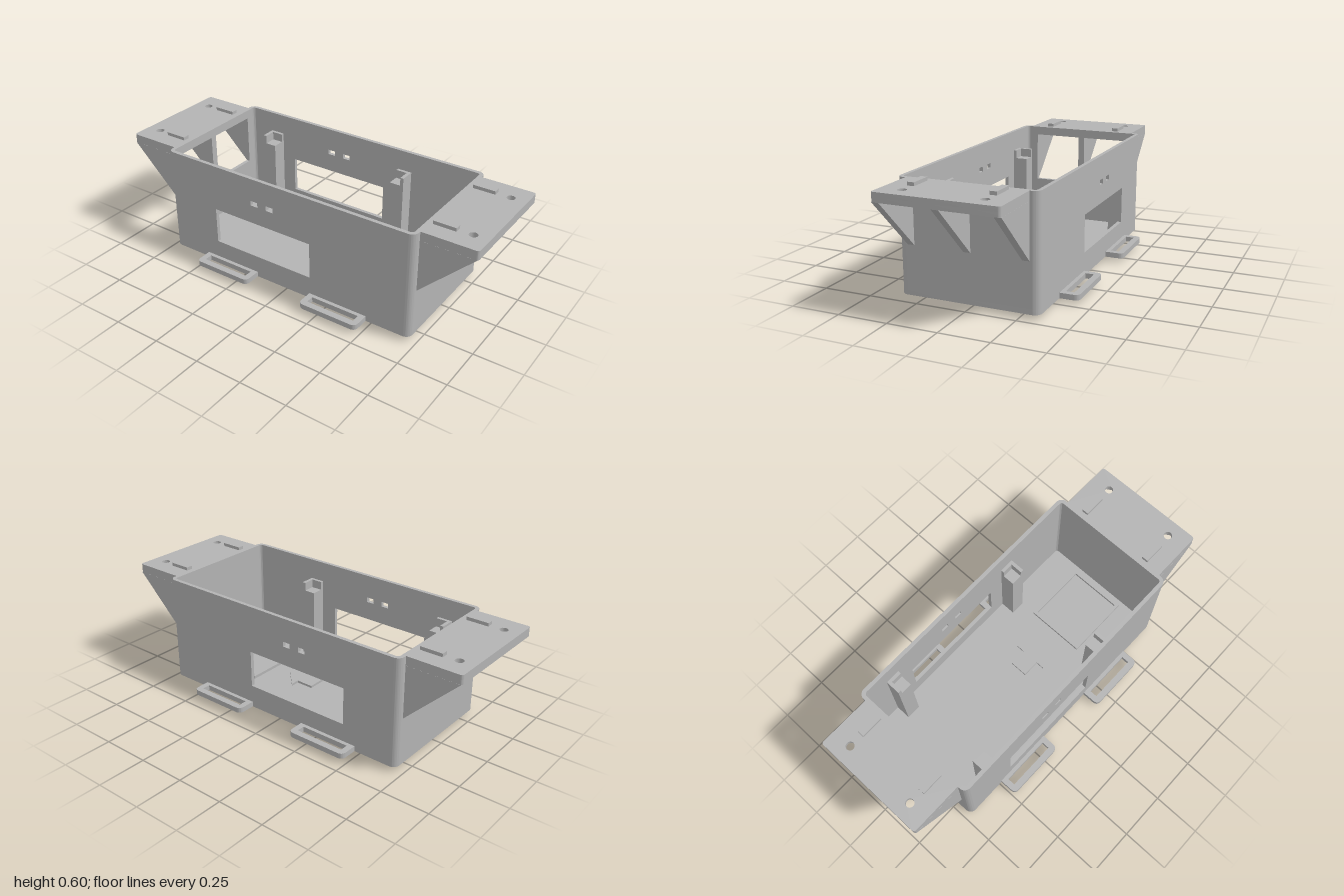
import * as THREE from 'three';
import { toCreasedNormals } from 'three/addons/utils/BufferGeometryUtils.js';

const TOP = 0.583, BASE = 0.025, FLOOR = 0.05; // wall top, underside, floor surface
const HX = 0.72, HZ = 0.348, WALL = 0.02, R = 0.035; // outer half sizes, wall, corner radius
const FLANGE = 0.537; // underside of the flanges

export function createModel() {
  const model = new THREE.Group();
  model.name = 'mountingBox';
  const grey = new THREE.MeshStandardMaterial({ color: 0xb3b3b3 });
  grey.name = 'plain grey';

  const add = (name, geometry, parent = model) => {
    const mesh = new THREE.Mesh(geometry, grey);
    mesh.name = name;
    parent.add(mesh);
    return mesh;
  };
  const box = (name, x0, x1, y0, y1, z0, z1) => {
    const g = new THREE.BoxGeometry(Math.abs(x1 - x0), y1 - y0, Math.abs(z1 - z0));
    return add(name, g.translate((x0 + x1) / 2, (y0 + y1) / 2, (z0 + z1) / 2));
  };
  const extrude = (shape, depth) => toCreasedNormals(
    new THREE.ExtrudeGeometry(shape, { depth, bevelEnabled: false, curveSegments: 10 }), 0.5);
  // Horizontal plate: shape (x, -z) raised from y0 to y1
  const slab = (shape, y0, y1) => extrude(shape, y1 - y0).rotateX(-Math.PI / 2).translate(0, y0, 0);

  // Rectangle with optional rounded corners
  const rect = (x0, x1, y0, y1, r = 0, S = THREE.Shape) => {
    const s = new S();
    if (!r) {
      s.moveTo(x0, y0).lineTo(x1, y0).lineTo(x1, y1).lineTo(x0, y1).closePath();
      return s;
    }
    s.moveTo(x0 + r, y0).lineTo(x1 - r, y0);
    s.absarc(x1 - r, y0 + r, r, -Math.PI / 2, 0);
    s.absarc(x1 - r, y1 - r, r, 0, Math.PI / 2);
    s.absarc(x0 + r, y1 - r, r, Math.PI / 2, Math.PI);
    s.absarc(x0 + r, y0 + r, r, Math.PI, Math.PI * 1.5);
    return s;
  };
  const hole = (x0, x1, y0, y1, r = 0) => rect(x0, x1, y0, y1, r, THREE.Path);

  // Floor plate
  add('floor', slab(rect(-HX, HX, -HZ, HZ, R), BASE, FLOOR));

  // Long walls with a window and two small slots
  for (const s of [1, -1]) {
    const wall = rect(-HX + R, HX - R, FLOOR, TOP);
    wall.holes.push(
      hole(-0.42, 0.16, 0.145, 0.337),
      hole(-0.19, -0.148, 0.435, 0.461),
      hole(-0.096, -0.055, 0.435, 0.461));
    add(s > 0 ? 'frontWall' : 'backWall',
      extrude(wall, WALL).translate(0, 0, s > 0 ? HZ - WALL : -HZ));
  }

  // End walls: one solid, one open under the flange
  for (const s of [1, -1]) {
    const wall = rect(-HZ + R, HZ - R, FLOOR, TOP);
    if (s < 0) wall.holes.push(hole(-0.267, 0.267, 0.27, FLANGE));
    add(s > 0 ? 'leftEndWall' : 'rightEndWall',
      extrude(wall, WALL).rotateY(Math.PI / 2).translate(s > 0 ? HX - WALL : -HX, 0, 0));
  }

  // Rounded wall corners
  [[1, 1], [-1, 1], [-1, -1], [1, -1]].forEach(([sx, sy], i) => {
    const a = i * Math.PI / 2, cx = sx * (HX - R), cy = sy * (HZ - R);
    const corner = new THREE.Shape();
    corner.absarc(cx, cy, R, a, a + Math.PI / 2, false);
    corner.absarc(cx, cy, R - WALL, a + Math.PI / 2, a, true);
    corner.closePath();
    add('wallCorner', slab(corner, FLOOR, TOP));
  });

  // End flanges with screw holes, nut pockets, tabs and ribs
  for (const s of [1, -1]) {
    const flangeShape = (radius, sides) => {
      const shape = new THREE.Shape();
      const c = 0.015;
      shape.moveTo(s * HX, -0.302).lineTo(s * (1 - c), -0.302)
        .quadraticCurveTo(s, -0.302, s, -0.302 + c)
        .lineTo(s, 0.302 - c).quadraticCurveTo(s, 0.302, s * (1 - c), 0.302)
        .lineTo(s * HX, 0.302).closePath();
      for (const z of [-0.195, 0.195]) {
        const pts = [];
        for (let k = 0; k < sides; k++) {
          const a = (k / sides) * Math.PI * 2;
          pts.push(new THREE.Vector2(s * 0.92 + radius * Math.cos(a), z + radius * Math.sin(a)));
        }
        shape.holes.push(new THREE.Path(pts));
      }
      return shape;
    };
    add('flangeTop', slab(flangeShape(0.021, 24), 0.56, TOP));
    add('flangeNutLayer', slab(flangeShape(0.034, 6), FLANGE, 0.56));

    for (const z of [-0.197, 0.197])
      box('flangeTab', s * 0.733, s * 0.848, TOP, 0.6, z - 0.017, z + 0.017);

    for (const z of [-0.285, 0, 0.285]) {
      const rib = new THREE.Shape();
      rib.moveTo(s * HX, 0.27).lineTo(s * 0.995, FLANGE).lineTo(s * HX, FLANGE).closePath();
      add('flangeRib', extrude(rib, 0.035).translate(0, 0, z - 0.0175));
    }
  }

  // Strap loops along both long sides
  for (const x of [-0.327, 0.322]) {
    for (const s of [1, -1]) {
      const loop = new THREE.Shape();
      const w = 0.163, out = 0.443, r = 0.03;
      loop.moveTo(x - w, s * 0.347).lineTo(x + w, s * 0.347).lineTo(x + w, s * (out - r))
        .quadraticCurveTo(x + w, s * out, x + w - r, s * out)
        .lineTo(x - w + r, s * out)
        .quadraticCurveTo(x - w, s * out, x - w, s * (out - r)).closePath();
      const [a, b] = s > 0 ? [0.368, 0.41] : [-0.41, -0.368];
      loop.holes.push(hole(x - 0.132, x + 0.132, a, b));
      add('strapLoop', slab(loop, BASE, 0.052));
    }
  }

  // Runners under the floor
  for (const z of [-0.221, 0.221])
    add('runner', slab(rect(-0.58, 0.58, z - 0.015, z + 0.015, 0.012), 0, BASE));

  // Board posts, each with a raised L-shaped outer rim
  for (const sx of [1, -1]) {
    for (const sz of [1, -1]) {
      const c = -0.125; // posts mirror about this x
      const inner = c + sx * 0.37, outer = c + sx * 0.448, lip = c + sx * 0.43;
      box('post', inner, outer, FLOOR, 0.43, sz * 0.248, sz * 0.329);
      box('postSideLip', lip, outer, 0.43, 0.475, sz * 0.248, sz * 0.329);
      box('postBackLip', inner, lip, 0.43, 0.475, sz * 0.311, sz * 0.329);
    }
  }

  // Raised arrow on the floor
  const arrow = new THREE.Shape([
    [0.02, -0.048], [0.113, -0.048], [0.113, -0.095], [0.208, 0],
    [0.113, 0.095], [0.113, 0.048], [0.02, 0.048],
  ].map(([x, y]) => new THREE.Vector2(x, y)));
  add('floorArrow', slab(arrow, FLOOR, FLOOR + 0.012));

  // Raised square frame on the floor
  const frame = rect(0.318, 0.672, -0.157, 0.16);
  frame.holes.push(hole(0.335, 0.655, -0.14, 0.145));
  add('floorFrame', slab(frame, FLOOR, FLOOR + 0.015));

  return model;
}
